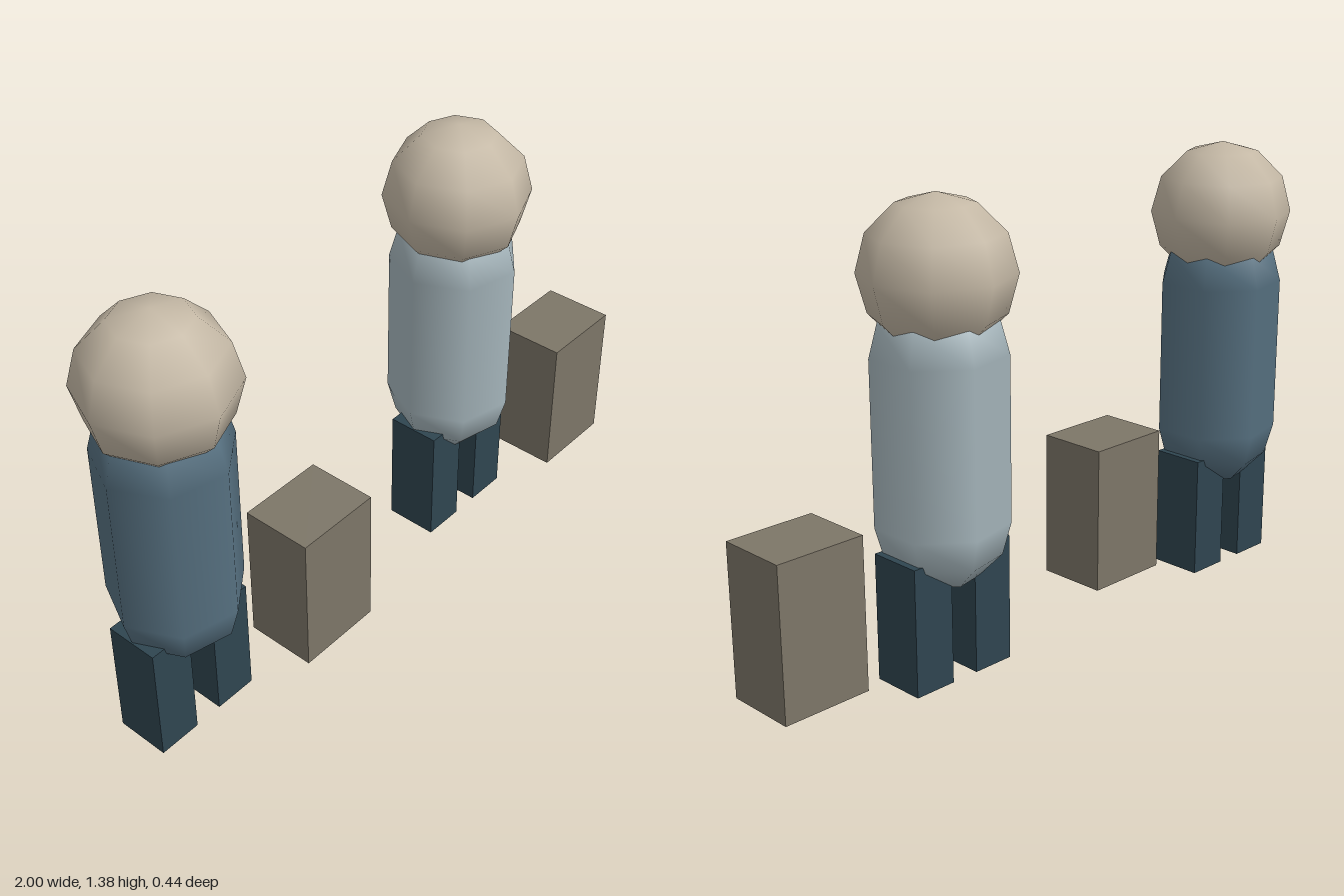
import * as THREE from 'three';

const mat = (name, color) => {
  const m = new THREE.MeshStandardMaterial({ color });
  m.name = name;
  return m;
};

export function createModel() {
  const skin = mat('sand', 0xc4b8a5);
  const darkBlue = mat('slate blue', 0x567080);
  const paleBlue = mat('pale blue', 0xa5b5bb);
  const trousers = mat('dark teal', 0x2f4550);
  const luggage = mat('taupe', 0x7d7668);

  const headGeo = new THREE.SphereGeometry(0.22, 8, 6);
  const bodyGeo = new THREE.CapsuleGeometry(0.195, 0.485, 3, 7);
  const legGeo = new THREE.BoxGeometry(0.134, 0.385, 0.167);
  const caseGeo = new THREE.BoxGeometry(0.279, 0.46, 0.223);

  // One standing traveller with a suitcase at its left side
  const traveller = (name, x, coat) => {
    const g = new THREE.Group();
    g.name = name;
    g.position.x = x;
    const add = (part, geo, material, px, py, pz) => {
      const mesh = new THREE.Mesh(geo, material);
      mesh.name = part;
      mesh.position.set(px, py, pz);
      g.add(mesh);
    };
    add('head', headGeo, skin, 0, 1.165, 0);
    add('body', bodyGeo, coat, 0, 0.703, 0);
    add('rightLeg', legGeo, trousers, -0.111, 0.1925, 0);
    add('leftLeg', legGeo, trousers, 0.111, 0.1925, 0);
    add('suitcase', caseGeo, luggage, 0.443, 0.28, 0.086);
    return g;
  };

  const model = new THREE.Group();
  model.name = 'travellers';
  model.add(traveller('darkTraveller', -0.78, darkBlue));
  model.add(traveller('paleTraveller', 0.416, paleBlue));
  return model;
}
